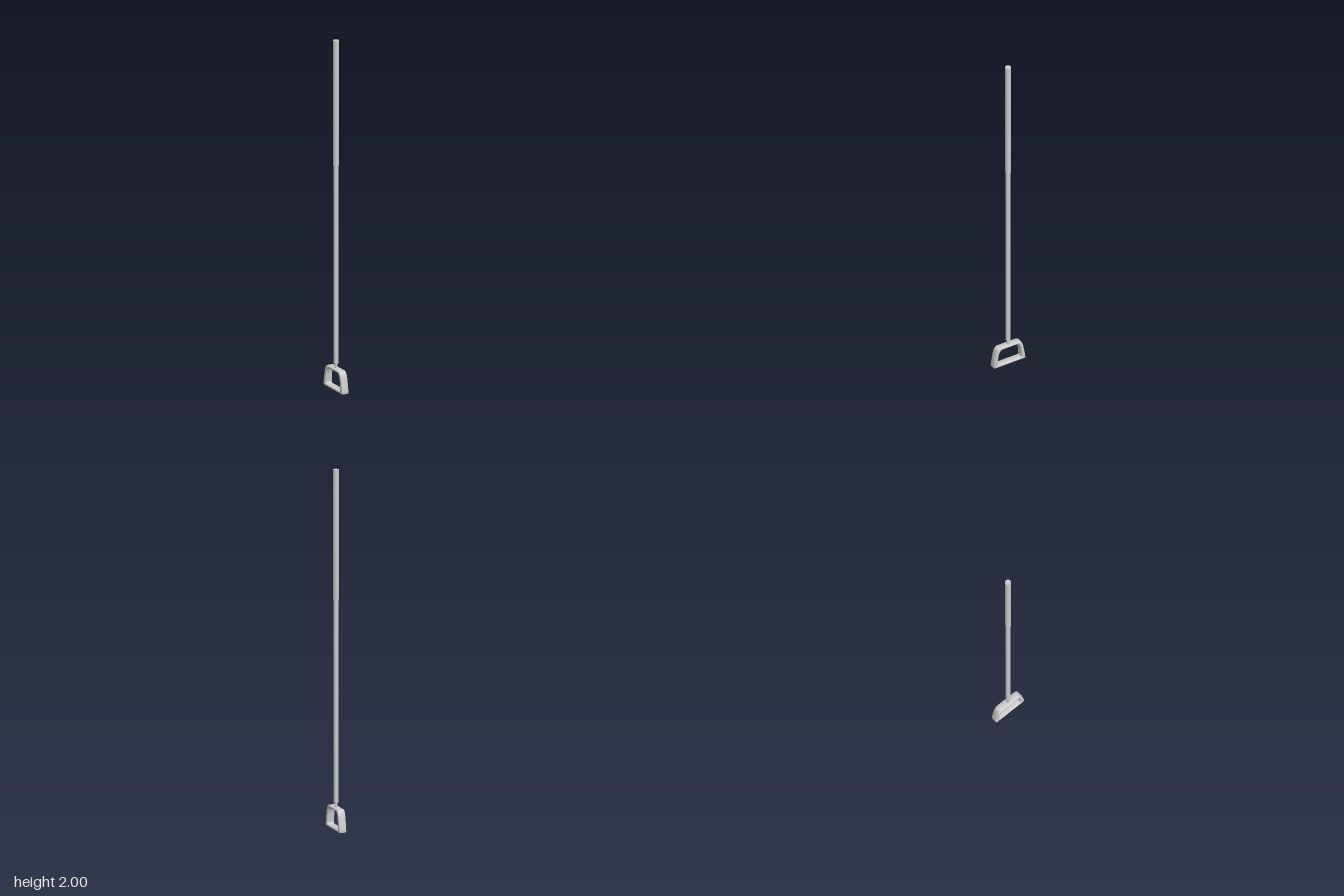
import * as THREE from 'three';
import { toCreasedNormals } from 'three/addons/utils/BufferGeometryUtils.js';

const material = new THREE.MeshStandardMaterial({ color: 0xcccccc });

function addPart(group, name, geometry) {
  const mesh = new THREE.Mesh(geometry, material);
  mesh.name = name;
  group.add(mesh);
}

// Closed D-shaped outline: flat base, legs leaning inwards, rounded shoulders.
function trace(path, { base, foot, side, shoulder, top, corner }) {
  const [fx, fr] = foot;
  path.moveTo(-fx + fr, base);
  path.lineTo(fx - fr, base);
  path.quadraticCurveTo(fx, base, fx, base + fr);
  path.quadraticCurveTo(fx - 0.002, base + 0.03, side[0], side[1]);
  path.bezierCurveTo(corner, top - 0.012, corner - 0.008, top, shoulder, top);
  path.lineTo(-shoulder, top);
  path.bezierCurveTo(-corner + 0.008, top, -corner, top - 0.012, -side[0], side[1]);
  path.quadraticCurveTo(-fx + 0.002, base + 0.03, -fx, base + fr);
  path.quadraticCurveTo(-fx, base, -fx + fr, base);
  return path;
}

export function createModel() {
  const model = new THREE.Group();
  model.name = 'longHandledTool';

  // Stirrup-shaped head with softened edges
  const outline = trace(new THREE.Shape(), {
    base: 0, foot: [0.1, 0.006], side: [0.089, 0.075], shoulder: 0.052, top: 0.124, corner: 0.082,
  });
  outline.holes.push(trace(new THREE.Path(), {
    base: 0.014, foot: [0.074, 0.008], side: [0.07, 0.07], shoulder: 0.042, top: 0.11, corner: 0.064,
  }));
  const width = 0.042, bevel = 0.009;
  const head = new THREE.ExtrudeGeometry(outline, {
    depth: width - 2 * bevel, curveSegments: 14, bevelEnabled: true,
    bevelThickness: bevel, bevelSize: 0.0055, bevelOffset: -0.0055, bevelSegments: 4,
  });
  head.translate(0, 0, -width / 2 + bevel);
  head.rotateY(-Math.PI / 2);
  addPart(model, 'stirrupHead', toCreasedNormals(head, 0.7));

  // Narrow neck joining head and pole
  const neck = new THREE.CylinderGeometry(0.009, 0.009, 0.045, 24);
  neck.translate(0, 0.1365, 0);
  addPart(model, 'neck', neck);

  // Long pole, tapering gently towards the head
  const bottom = 0.15;
  const pole = new THREE.CylinderGeometry(0.016, 0.013, 2 - bottom, 32);
  pole.translate(0, (2 + bottom) / 2, 0);
  addPart(model, 'pole', pole);

  return model;
}
